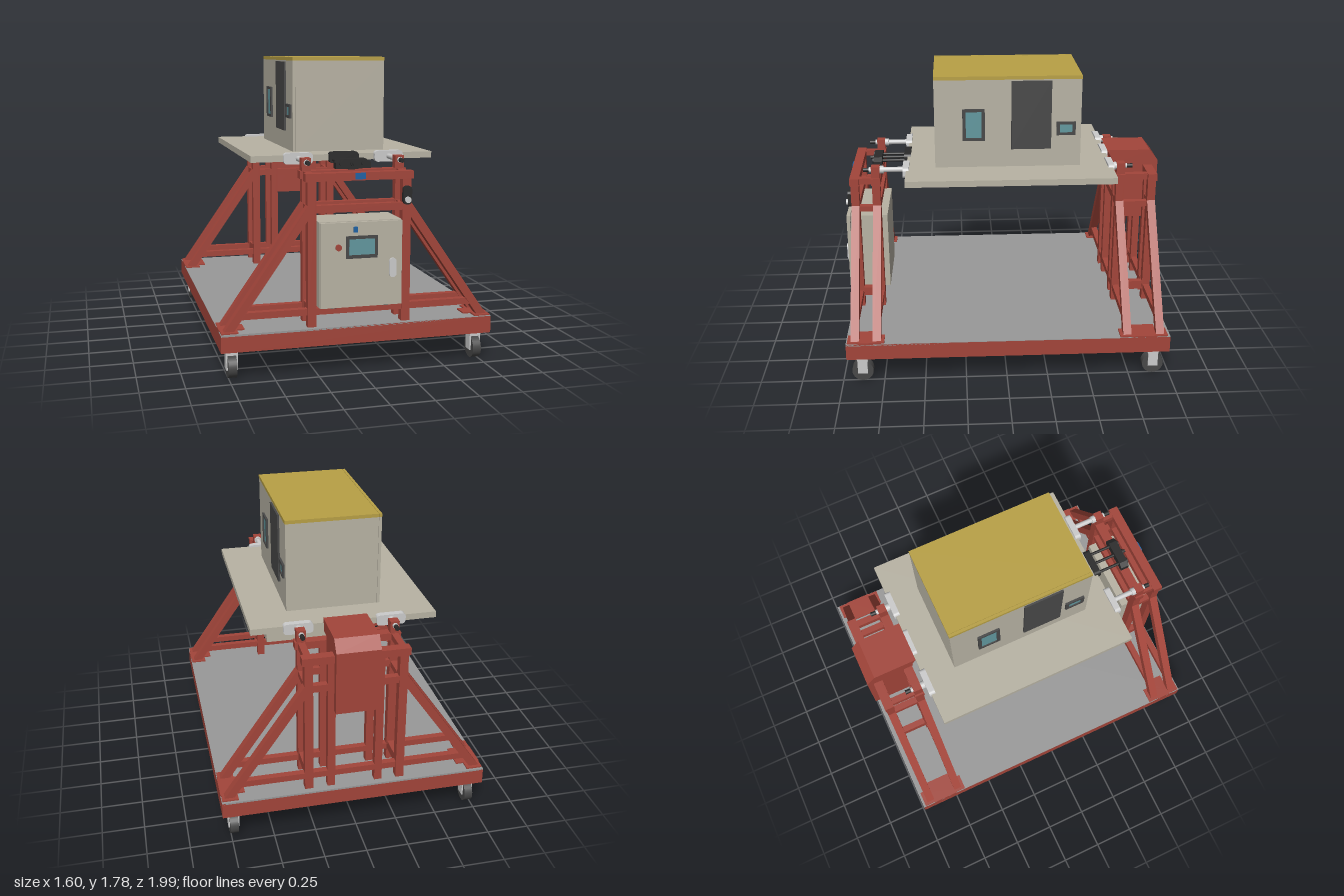
import * as THREE from 'three';

const mat = (color) => new THREE.MeshStandardMaterial({ color });
const M = {
  red: mat(0xa3453a), beige: mat(0xb8b3a4), yellow: mat(0xb8a045), dark: mat(0x484848),
  black: mat(0x2a2a2a), teal: mat(0x62989f), blue: mat(0x1c62a5), grey: mat(0xcccccc), floor: mat(0x999999),
};

export function createModel() {
  const root = new THREE.Group();
  let parent = root;

  const add = (name, geo, m) => {
    const mesh = new THREE.Mesh(geo, m);
    mesh.name = name;
    parent.add(mesh);
    return mesh;
  };
  const group = (name, build) => {
    const g = new THREE.Group();
    g.name = name;
    root.add(g);
    parent = g;
    build();
    parent = root;
  };
  // box given by its extents along x, y and z
  const box = (name, m, x0, x1, y0, y1, z0, z1) => {
    const b = add(name, new THREE.BoxGeometry(x1 - x0, y1 - y0, z1 - z0), m);
    b.position.set((x0 + x1) / 2, (y0 + y1) / 2, (z0 + z1) / 2);
    return b;
  };
  // round bar along z
  const rodZ = (name, m, r, x, y, z0, z1) => {
    const c = add(name, new THREE.CylinderGeometry(r, r, Math.abs(z1 - z0), 20), m);
    c.rotation.x = Math.PI / 2;
    c.position.set(x, y, (z0 + z1) / 2);
    return c;
  };
  // outline in x, y extruded from z0 to z1
  const slab = (name, m, pts, z0, z1) => {
    const shape = new THREE.Shape(pts.map(([x, y]) => new THREE.Vector2(x, y)));
    const s = add(name, new THREE.ExtrudeGeometry(shape, { depth: z1 - z0, bevelEnabled: false }), m);
    s.position.z = z0;
    return s;
  };
  // rounded upright or lying plate, facing z
  const pill = (name, m, cx, cy, w, h, r, z0, z1) => {
    const s = new THREE.Shape(), a = w / 2 - r, b = h / 2 - r;
    s.absarc(a, b, r, 0, Math.PI / 2);
    s.absarc(-a, b, r, Math.PI / 2, Math.PI);
    s.absarc(-a, -b, r, Math.PI, Math.PI * 1.5);
    s.absarc(a, -b, r, Math.PI * 1.5, Math.PI * 2);
    const p = add(name, new THREE.ExtrudeGeometry(s, { depth: z1 - z0, bevelEnabled: false, curveSegments: 6 }), m);
    p.position.set(cx, cy, z0);
  };

  // Wheeled base: hollow rim with a sheet floor on top
  group('base', () => {
    for (const s of [-1, 1]) {
      box('sideRail', M.red, s * 0.785 - 0.015, s * 0.785 + 0.015, 0.17, 0.27, -0.99, 0.97);
      const z = s > 0 ? 0.955 : -0.975;
      box('endRail', M.red, -0.77, 0.77, 0.17, 0.27, z - 0.015, z + 0.015);
    }
    box('floorSheet', M.floor, -0.8, 0.8, 0.262, 0.273, -0.99, 0.97);
  });

  group('casters', () => {
    for (const x of [-0.73, 0.73]) for (const z of [-0.9, 0.88]) {
      box('casterPlate', M.red, x - 0.06, x + 0.06, 0.17, 0.18, z - 0.08, z + 0.08);
      box('forkTop', M.grey, x - 0.033, x + 0.033, 0.135, 0.17, z - 0.033, z + 0.033);
      for (const s of [-1, 1])
        box('forkArm', M.grey, x + s * 0.029 - 0.004, x + s * 0.029 + 0.004, 0.05, 0.14, z - 0.03, z + 0.03);
      const wheel = add('wheel', new THREE.CylinderGeometry(0.065, 0.065, 0.05, 28), M.dark);
      wheel.rotation.z = Math.PI / 2;
      wheel.position.set(x, 0.065, z);
    }
  });

  // One end trestle: two parallel A-frames tied together
  const trestle = (name, rows, innerPosts) => group(name, () => {
    const [za, zb] = rows;
    for (const z of rows) {
      const z0 = z - 0.025, z1 = z + 0.025;
      box('topBeam', M.red, -0.315, 0.315, 1.1, 1.145, z - 0.029, z + 0.029);
      box('middleBeam', M.red, -0.26, 0.26, 0.922, 0.965, z - 0.02, z + 0.02);
      box('lowerBeam', M.red, -0.68, 0.68, 0.342, 0.38, z - 0.02, z + 0.02);
      for (const s of [-1, 1]) {
        box('post', M.red, s * 0.277 - 0.025, s * 0.277 + 0.025, 0.27, 1.11, z0, z1);
        const pts = [[0.783, 0.275], [0.302, 0.967], [0.275, 0.92], [0.725, 0.275]];
        slab('diagonalBrace', M.red, pts.map(([x, y]) => [s * x, y]), z0, z1);
        if (innerPosts) box('innerPost', M.red, s * 0.143 - 0.023, s * 0.143 + 0.023, 0.27, 1.11, z - 0.022, z + 0.022);
      }
    }
    for (const s of [-1, 1]) {
      for (const [y0, y1] of [[1.105, 1.143], [0.925, 0.96], [0.345, 0.4]])
        box('crossTie', M.red, s * 0.277 - 0.02, s * 0.277 + 0.02, y0, y1, za, zb);
      const footX = s * 0.7275;
      box('footPlate', M.red, footX - 0.0725, footX + 0.0725, 0.27, 0.281, za + 0.02, zb - 0.02);
      box('footFlange', M.red, s * 0.748 - 0.048, s * 0.748 + 0.048, 0.27, 0.281, za - 0.045, zb + 0.045);
    }
  });
  trestle('frontTrestle', [0.785, 0.917], false);
  trestle('backTrestle', [-0.93, -0.73], true);

  // Pivot shafts carrying the platform
  const pivot = (x, zBearing, zFlange) => {
    const d = Math.sign(zBearing);
    box('bearingBlock', M.red, x - 0.027, x + 0.027, 1.14, 1.217, zBearing - 0.026, zBearing + 0.026);
    rodZ('shaft', M.grey, 0.016, x, 1.193, zFlange, zBearing + d * 0.04);
    rodZ('shaftCollar', M.grey, 0.024, x, 1.193, zBearing - d * 0.05, zBearing - d * 0.02);
    rodZ('shaftNut', M.black, 0.013, x, 1.193, zBearing + d * 0.03, zBearing + d * 0.075);
    pill('shaftFlange', M.grey, x, 1.193, 0.176, 0.066, 0.022, zFlange - 0.019, zFlange + 0.019);
  };
  group('pivots', () => {
    for (const x of [-0.277, 0.277]) {
      pivot(x, 0.785, 0.597);
      pivot(x, -0.73, -0.66);
    }
    pill('driveFlange', M.grey, 0, 1.193, 0.176, 0.066, 0.022, -0.679, -0.641);
  });

  // Black three-rod coupling at the front
  group('frontCoupling', () => {
    pill('couplingFlange', M.black, 0, 1.193, 0.18, 0.066, 0.022, 0.575, 0.617);
    slab('couplingBar', M.black, [[-0.105, 1.15], [0.105, 1.15], [0.105, 1.185], [0.075, 1.205],
      [-0.075, 1.205], [-0.105, 1.185]], 0.757, 0.81);
    for (const x of [-0.065, 0, 0.065]) {
      rodZ('couplingRod', M.black, 0.009, x, 1.18, 0.6, 0.77);
      rodZ('couplingBolt', M.black, 0.018, x, 1.18, 0.8, 0.818);
    }
    rodZ('couplingTip', M.black, 0.01, 0, 1.18, 0.8, 0.835);
    box('couplingStand', M.black, -0.03, 0.03, 1.14, 1.155, 0.765, 0.805);
  });

  // Drive housing at the back, side outline in z, y
  group('driveHousing', () => {
    const h = slab('housing', M.red, [[-0.67, 1.245], [-0.94, 1.245], [-0.995, 1.175], [-0.995, 0.79],
      [-0.757, 0.79], [-0.757, 1.17], [-0.695, 1.17], [-0.695, 1.2]], -0.13, 0.13);
    h.rotation.y = -Math.PI / 2;
    h.position.set(0.13, 0, 0);
  });

  // Platform and cabin
  group('platform', () => box('platformSlab', M.beige, -0.555, 0.555, 1.174, 1.212, -0.668, 0.595));
  group('cabin', () => {
    box('cabinBody', M.beige, -0.245, 0.308, 1.21, 1.756, -0.472, 0.417);
    box('cabinSideWall', M.beige, -0.264, -0.247, 1.21, 1.756, -0.472, 0.417);
    box('roof', M.yellow, -0.245, 0.31, 1.756, 1.777, -0.473, 0.418);
    box('roofEdge', M.yellow, -0.264, -0.247, 1.756, 1.777, -0.473, 0.418);
    const opening = (name, side, z0, z1, y0, y1, glazed) => {
      const x = side > 0 ? 0.308 : -0.264;
      const span = (d) => (side > 0 ? [x - 0.01, x + d] : [x - d, x + 0.01]);
      if (!glazed) return box(name, M.dark, ...span(0.012), y0, y1, z0, z1);
      const t = 0.02;
      box(name + 'Glass', M.teal, ...span(0.006), y0 + t / 2, y1 - t / 2, z0 + t / 2, z1 - t / 2);
      for (const [a, b] of [[y0, y0 + t * 0.8], [y1 - t * 0.8, y1]]) box(name + 'Frame', M.dark, ...span(0.013), a, b, z0, z1);
      for (const [a, b] of [[z0, z0 + t], [z1 - t, z1]]) box(name + 'Frame', M.dark, ...span(0.013), y0, y1, a, b);
    };
    opening('window', 1, 0.113, 0.248, 1.382, 1.578, true);
    opening('door', 1, -0.29, -0.047, 1.325, 1.748, false);
    opening('smallWindow', 1, -0.438, -0.322, 1.41, 1.493, true);
    opening('window', -1, -0.308, -0.17, 1.382, 1.578, true);
    opening('door', -1, -0.013, 0.23, 1.325, 1.748, false);
    opening('smallWindow', -1, 0.262, 0.382, 1.41, 1.493, true);
  });

  // Control cabinet
  group('controlCabinet', () => {
    box('cabinetBody', M.beige, -0.242, 0.238, 0.385, 0.875, 0.728, 0.96);
    box('cabinetDoor', M.beige, -0.24, 0.236, 0.388, 0.872, 0.964, 0.986);
    box('doorSeal', M.dark, -0.23, 0.226, 0.398, 0.862, 0.955, 0.97);
    box('screenFrame', M.dark, -0.095, 0.09, 0.667, 0.795, 0.98, 0.992);
    box('screen', M.teal, -0.077, 0.072, 0.688, 0.777, 0.985, 0.995);
    box('switch', M.blue, -0.051, -0.029, 0.816, 0.847, 0.98, 0.997);
    rodZ('button', M.red, 0.018, -0.138, 0.733, 0.98, 0.998);
    pill('doorHandle', M.grey, 0.18, 0.604, 0.042, 0.11, 0.02, 0.98, 0.998);
    for (const x of [-0.155, 0.15]) box('cabinetFoot', M.dark, x - 0.018, x + 0.018, 0.375, 0.388, 0.76, 0.95);
  });

  // Hand control on the front post and the blue tag on the top beam
  group('handControl', () => {
    box('beamTag', M.blue, -0.03, 0.03, 1.107, 1.143, 0.94, 0.952);
    pill('pendant', M.black, 0.275, 1.008, 0.052, 0.105, 0.022, 0.94, 0.962);
    rodZ('pendantKnob', M.grey, 0.018, 0.275, 0.983, 0.955, 0.975);
  });

  return root;
}
